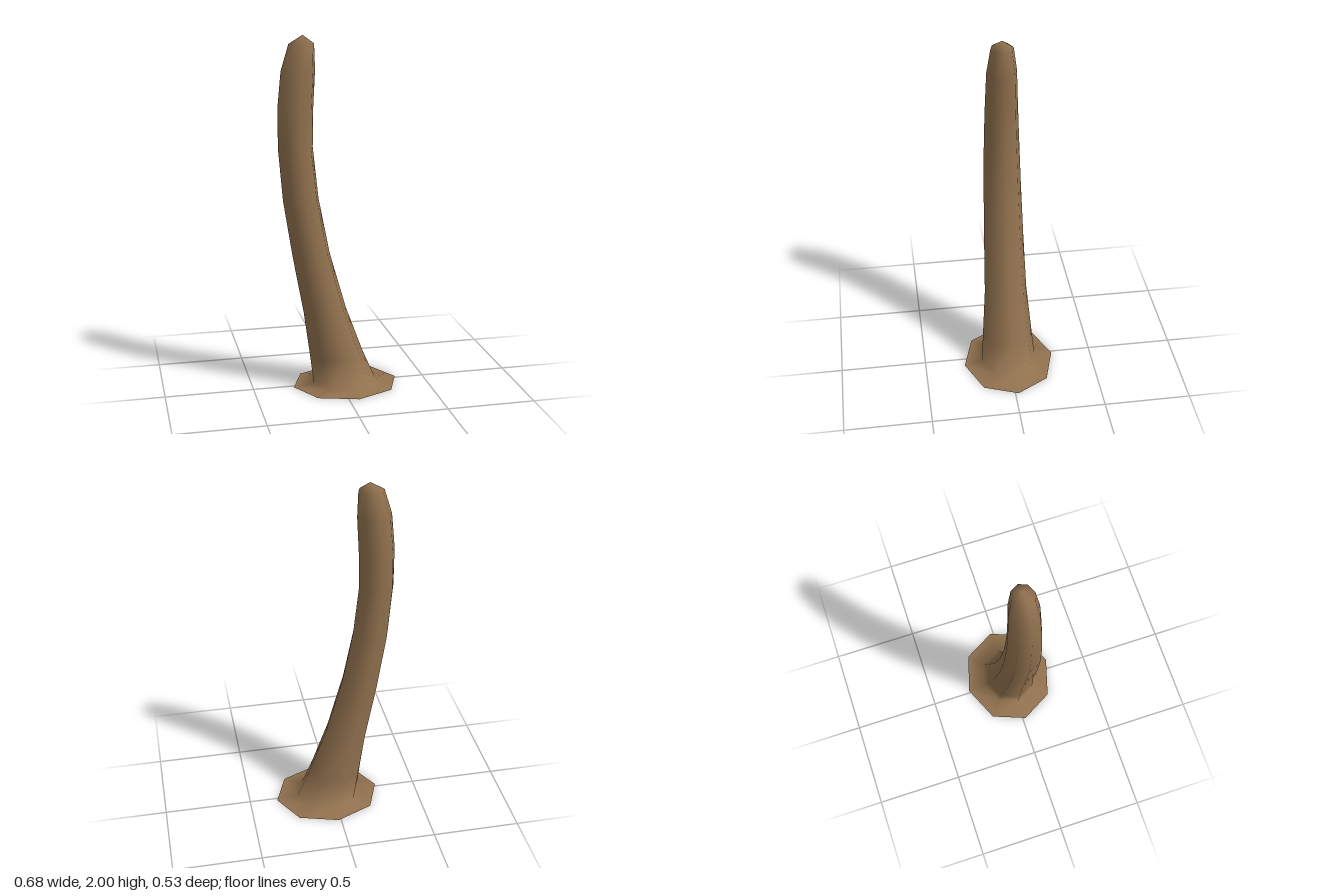
import * as THREE from 'three';

const SIDES = 8;
const TWIST = -0.07;

// Cross-sections from the flared skirt up: [y, left x, right x, half depth]
const RINGS = [
  [0.0, -0.27, 0.34, 0.268],
  [0.012, -0.152, 0.215, 0.162],
  [0.18, -0.172, 0.142, 0.148],
  [0.45, -0.208, 0.042, 0.125],
  [0.78, -0.268, -0.052, 0.116],
  [1.1, -0.318, -0.115, 0.108],
  [1.39, -0.342, -0.146, 0.1],
  [1.61, -0.342, -0.142, 0.092],
  [1.81, -0.322, -0.131, 0.084],
  [1.953, -0.278, -0.136, 0.063],
];
const TIP = [-0.2, 2, 0];

// Smooth skin over the stacked rings, closed by a point at the top and open below
function loftGeometry() {
  const positions = [];
  const index = [];
  for (const [y, left, right, depth] of RINGS) {
    for (let j = 0; j < SIDES; j++) {
      const a = TWIST + (j / SIDES) * Math.PI * 2;
      positions.push((left + right) / 2 + Math.cos(a) * (right - left) / 2, y, Math.sin(a) * depth);
    }
  }
  positions.push(...TIP);
  const last = RINGS.length - 1;
  for (let i = 0; i <= last; i++) {
    for (let j = 0; j < SIDES; j++) {
      const a = i * SIDES + j;
      const b = i * SIDES + (j + 1) % SIDES;
      if (i === last) index.push(a, RINGS.length * SIDES, b);
      else index.push(a, a + SIDES, b, b, a + SIDES, b + SIDES);
    }
  }
  const geometry = new THREE.BufferGeometry();
  geometry.setAttribute('position', new THREE.Float32BufferAttribute(positions, 3));
  geometry.setIndex(index);
  geometry.computeVertexNormals();
  return geometry;
}

export function createModel() {
  const group = new THREE.Group();
  group.name = 'curvedStalk';
  const brown = new THREE.MeshStandardMaterial({ color: 0x92724f, side: THREE.DoubleSide });
  brown.name = 'brown';

  // Leaning stalk with its flat flared foot
  const stalk = new THREE.Mesh(loftGeometry(), brown);
  stalk.name = 'stalkWithFlaredFoot';
  group.add(stalk);
  return group;
}
